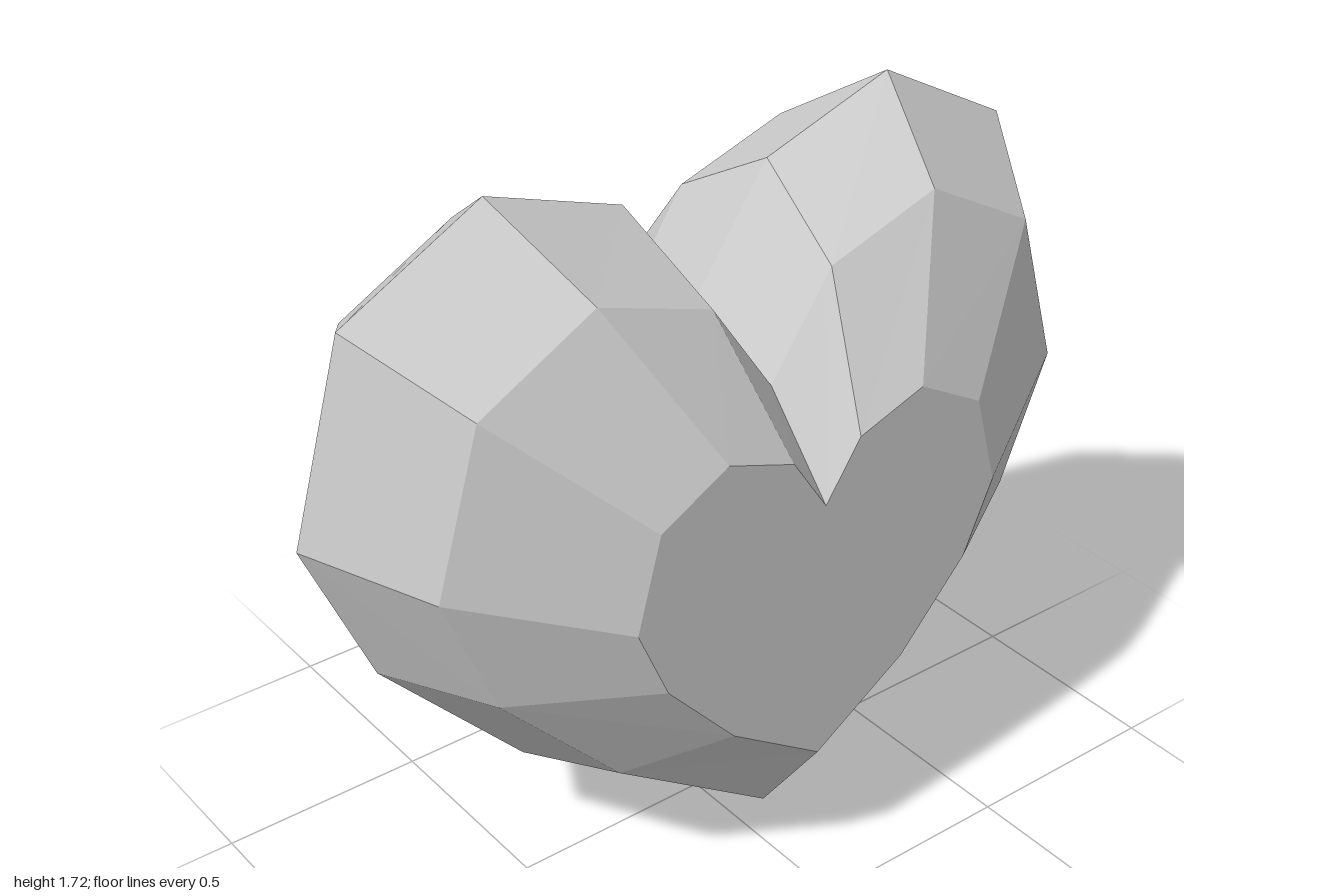
import * as THREE from 'three';

// Half outlines [x, y], from the bottom point round the lobe to the notch
const girdle = [[0, 0], [0.495, 0.34], [0.845, 0.72], [1, 1.085], [0.87, 1.535], [0.525, 1.72], [0.19, 1.605], [0, 1.33]];
const bevel = [[0, 0.12], [0.41, 0.4], [0.71, 0.72], [0.835, 1.025], [0.725, 1.4], [0.44, 1.555], [0.157, 1.46], [0, 1.23]];
const table = [[0, 0.375], [0.24, 0.535], [0.415, 0.73], [0.49, 0.905], [0.43, 1.125], [0.26, 1.22], [0.09, 1.16], [0, 1.025]];

// Mirror a half outline into a closed ring at depth z
function ring(half, z) {
  const left = half.slice(1, -1).reverse().map(([x, y]) => [-x, y]);
  return [...half, ...left].map(([x, y]) => [x, y, z]);
}

export function createModel() {
  const rings = [
    ring(table, -0.44), ring(bevel, -0.255), ring(girdle, 0),
    ring(bevel, 0.255), ring(table, 0.44),
  ];
  const count = rings[0].length;
  const positions = [];
  const triangle = (a, b, c) => positions.push(...a, ...b, ...c);

  for (let i = 0; i < count; i++) {
    const j = (i + 1) % count;
    // Facets between neighbouring rings
    for (let k = 0; k < rings.length - 1; k++) {
      const [back, front] = [rings[k], rings[k + 1]];
      triangle(back[i], back[j], front[j]);
      triangle(back[i], front[j], front[i]);
    }
    // Flat heart faces, fanned from the middle
    triangle([0, 0.8, 0.44], rings[4][i], rings[4][j]);
    triangle([0, 0.8, -0.44], rings[0][j], rings[0][i]);
  }

  const geometry = new THREE.BufferGeometry();
  geometry.setAttribute('position', new THREE.Float32BufferAttribute(positions, 3));
  geometry.computeVertexNormals();

  const heart = new THREE.Mesh(geometry, new THREE.MeshStandardMaterial({ color: 0xcccccc, flatShading: true }));
  heart.name = 'facetedHeart';
  const group = new THREE.Group();
  group.name = 'heartGem';
  group.add(heart);
  return group;
}
